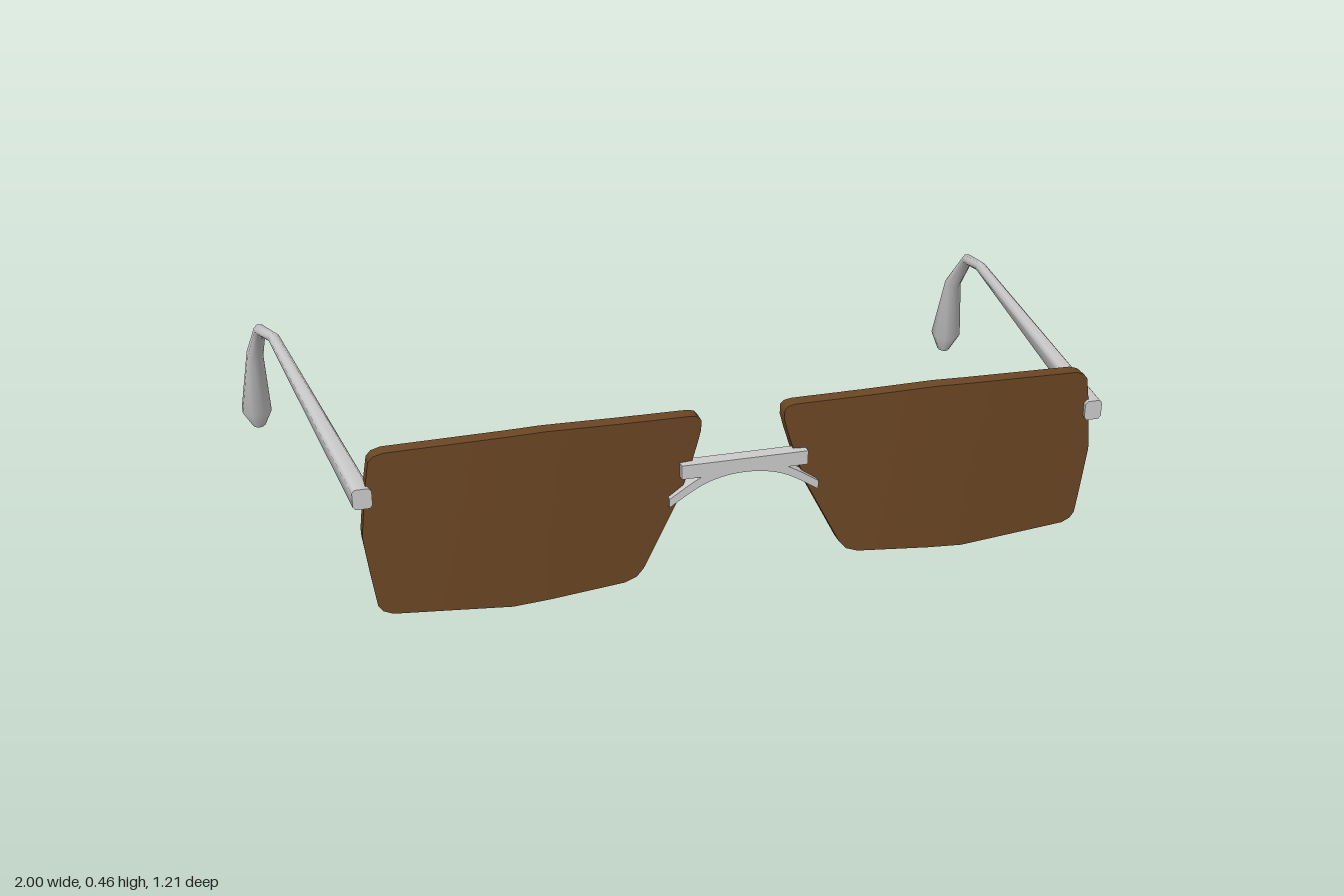
import * as THREE from 'three';
import { toCreasedNormals } from 'three/addons/utils/BufferGeometryUtils.js';

const metal = new THREE.MeshStandardMaterial({ color: 0xcccccc });
const tint = new THREE.MeshStandardMaterial({ color: 0x6b4624 });

// Skins a list of rings (counter-clockwise about the travel direction) and caps both ends.
// side = -1 mirrors the result in x.
function loft(rings, side) {
  const n = rings[0].length;
  const positions = [];
  const index = [];
  for (const ring of rings) {
    const points = side < 0 ? [...ring].reverse() : ring;
    for (const p of points) positions.push(p.x * side, p.y, p.z);
  }
  for (let i = 0; i < rings.length - 1; i++) {
    for (let j = 0; j < n; j++) {
      const a = i * n + j, b = i * n + (j + 1) % n;
      index.push(a, b, a + n, b, b + n, a + n);
    }
  }
  const end = (rings.length - 1) * n;
  for (let j = 1; j < n - 1; j++) {
    index.push(0, j + 1, j, end, end + j, end + j + 1);
  }
  const geometry = new THREE.BufferGeometry();
  geometry.setAttribute('position', new THREE.Float32BufferAttribute(positions, 3));
  geometry.setIndex(index);
  return toCreasedNormals(geometry, 1.0);
}

// Lens outline as columns: x, top y, bottom y
const lensColumns = [
  [0.092, 0.437, 0.415], [0.1, 0.446, 0.385], [0.115, 0.45, 0.337], [0.145, 0.452, 0.257],
  [0.222, 0.456, 0.108], [0.238, 0.457, 0.09], [0.265, 0.458, 0.081], [0.43, 0.464, 0.069],
  [0.51, 0.462, 0.064], [0.76, 0.452, 0.079], [0.78, 0.445, 0.087], [0.79, 0.433, 0.1],
  [0.798, 0.385, 0.155], [0.811, 0.27, 0.255],
];

function lens(side) {
  const rings = lensColumns.map(([x, top, bottom]) => {
    const front = 0.604 - 0.024 * ((x - 0.48) / 0.38) ** 2;
    const back = front - 0.033;
    return [
      new THREE.Vector3(x, bottom, back), new THREE.Vector3(x, top, back),
      new THREE.Vector3(x, top, front), new THREE.Vector3(x, bottom, front),
    ];
  });
  return new THREE.Mesh(loft(rings, side), tint);
}

// Temple arm stations: x, y, z, half width, half thickness, corner roundness
const armStations = [
  [0.807, 0.358, 0.598, 0.02, 0.0225, 0.4],
  [0.917, 0.369, -0.27, 0.013, 0.011, 0.9],
  [0.943, 0.336, -0.41, 0.014, 0.013, 1],
  [0.957, 0.225, -0.525, 0.02, 0.02, 1],
  [0.965, 0.052, -0.57, 0.037, 0.037, 1],
  [0.962, 0.003, -0.574, 0.015, 0.016, 1],
];

function arm(side) {
  const centres = armStations.map(([x, y, z]) => new THREE.Vector3(x, y, z));
  const direction = (i, j) => centres[j].clone().sub(centres[i]).normalize();
  const last = centres.length - 1;
  const rings = armStations.map(([, , , width, thickness, round], i) => {
    const travel = i === 0 ? new THREE.Vector3(0, 0, -1) : direction(i - 1, i);
    if (i > 0 && i < last) travel.add(direction(i, i + 1)).normalize();
    const across = new THREE.Vector3(1, 0, 0).addScaledVector(travel, -travel.x).normalize();
    const up = travel.clone().cross(across);
    const soften = (v) => Math.sign(v) * Math.abs(v) ** round;
    return Array.from({ length: 8 }, (_, k) => {
      const angle = (k + 0.5) * Math.PI / 4;
      const fit = 1 / Math.cos(Math.PI / 8) ** round;
      return centres[i].clone()
        .addScaledVector(across, soften(Math.cos(angle)) * width * fit)
        .addScaledVector(up, soften(Math.sin(angle)) * thickness * fit);
    });
  });
  return new THREE.Mesh(loft(rings, side), metal);
}

// Curved strip under the bridge that rests on the nose
function noseArch() {
  const points = (list) => list.map(([x, y]) => new THREE.Vector2(x, y));
  const shape = new THREE.Shape();
  shape.moveTo(-0.166, 0.25);
  shape.splineThru(points([[-0.1, 0.291], [-0.05, 0.308], [0, 0.313], [0.05, 0.308], [0.1, 0.291], [0.166, 0.25]]));
  shape.lineTo(0.166, 0.27);
  shape.splineThru(points([[0.1, 0.311], [0.05, 0.326], [0, 0.331], [-0.05, 0.326], [-0.1, 0.311], [-0.166, 0.27]]));
  const geometry = new THREE.ExtrudeGeometry(shape, { depth: 0.03, bevelEnabled: false, curveSegments: 4 });
  geometry.translate(0, 0, 0.569);
  return new THREE.Mesh(toCreasedNormals(geometry, 0.6), metal);
}

export function createModel() {
  const model = new THREE.Group();
  model.name = 'glasses';
  const add = (mesh, name) => {
    mesh.name = name;
    model.add(mesh);
    return mesh;
  };

  for (const [side, label] of [[1, 'left'], [-1, 'right']]) {
    add(lens(side), label + 'Lens');
    add(arm(side), label + 'Arm');
  }

  // Straight bar joining the lenses
  add(new THREE.Mesh(new THREE.BoxGeometry(0.28, 0.032, 0.032), metal), 'bridgeBar')
    .position.set(0, 0.33, 0.585);
  add(noseArch(), 'noseArch');
  return model;
}
